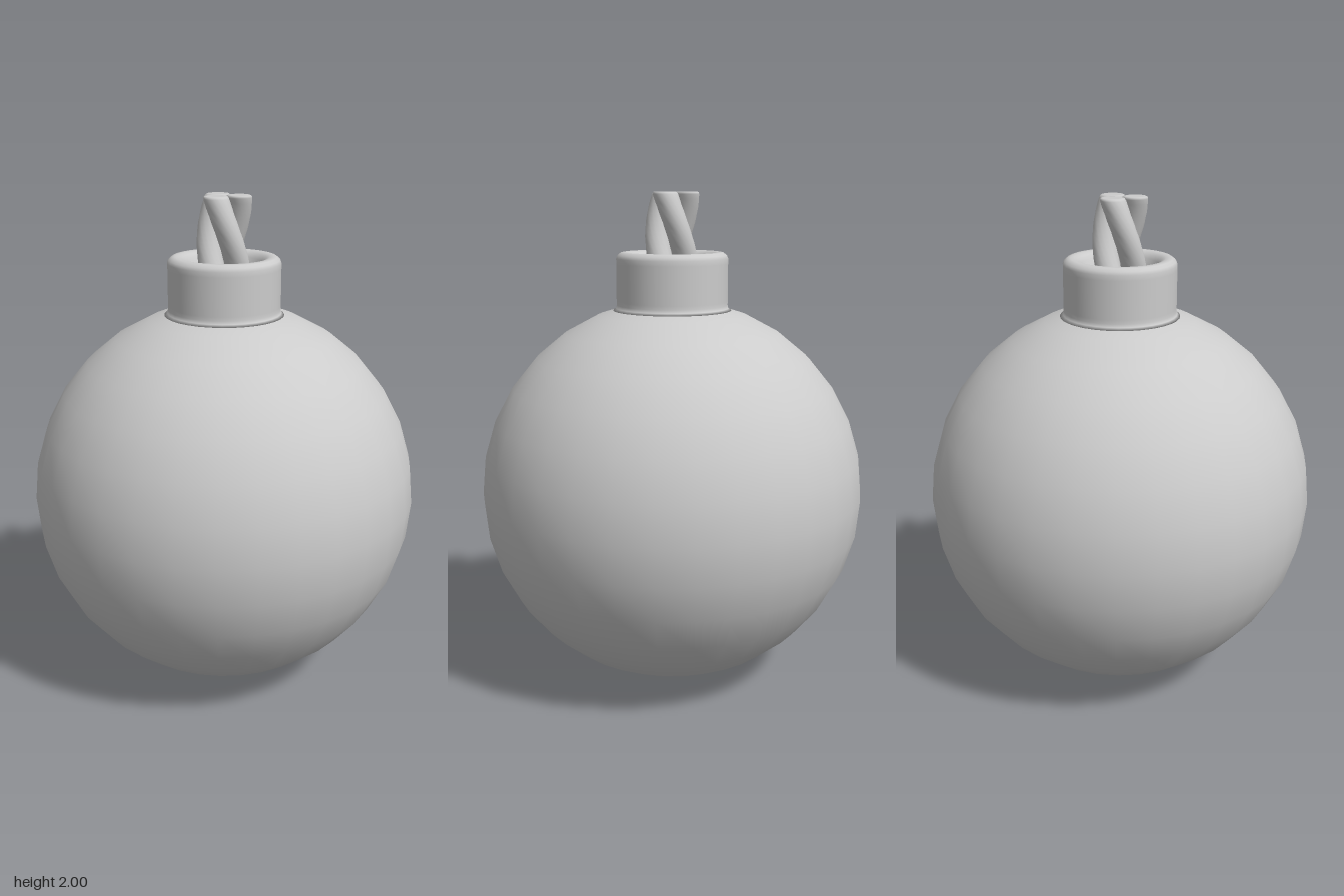
import * as THREE from 'three';

const material = new THREE.MeshStandardMaterial({ color: 0xcccccc });
const TWIST = 6.3; // radians of strand twist per unit of height
const TOP = 2;

function add(group, name, geometry) {
  const mesh = new THREE.Mesh(geometry, material);
  mesh.name = name;
  group.add(mesh);
  return mesh;
}

function lathe(profile, segments) {
  return new THREE.LatheGeometry(profile.map(([r, y]) => new THREE.Vector2(r, y)), segments);
}

// One fuse strand: an upright rod set off the axis, then wound around it
function strandGeometry(angle) {
  const bottom = 1.62, radius = 0.05, offset = 0.058, rows = 20;
  const profile = [[0, bottom]];
  for (let i = 0; i <= rows; i++) {
    profile.push([radius, bottom + (TOP - 0.01 - bottom) * i / rows]);
  }
  profile.push([radius - 0.002, TOP - 0.003], [radius - 0.008, TOP], [radius - 0.015, TOP], [0, TOP]);
  const geometry = lathe(profile, 16);
  geometry.translate(offset, 0, 0);

  const pos = geometry.attributes.position, nor = geometry.attributes.normal;
  const axis = new THREE.Vector3(0, 1, 0);
  const p = new THREE.Vector3(), n = new THREE.Vector3();
  for (let i = 0; i < pos.count; i++) {
    p.fromBufferAttribute(pos, i);
    n.fromBufferAttribute(nor, i);
    const turn = -(angle + TWIST * (p.y - TOP));
    p.applyAxisAngle(axis, turn);
    n.applyAxisAngle(axis, turn);
    // tilt the normal to follow the winding
    n.y -= TWIST * (p.x * n.z - p.z * n.x);
    n.normalize();
    pos.setXYZ(i, p.x, p.y, p.z);
    nor.setXYZ(i, n.x, n.y, n.z);
  }
  return geometry;
}

export function createModel() {
  const model = new THREE.Group();
  model.name = 'roundBomb';

  // Round body
  add(model, 'body', new THREE.SphereGeometry(0.787, 32, 16)).position.y = 0.787;

  // Collar with a small foot fillet, rounded rim and dished socket
  add(model, 'collar', lathe([
    [0.2, 1.52], [0.24, 1.533], [0.228, 1.542], [0.225, 1.555], [0.225, 1.57],
    [0.225, 1.72], [0.225, 1.74], [0.22, 1.753], [0.207, 1.763], [0.195, 1.765],
    [0.18, 1.764], [0.165, 1.757], [0.15, 1.74], [0.135, 1.705], [0.12, 1.675],
    [0.1, 1.662], [0.08, 1.66], [0, 1.66],
  ], 32));

  // Fuse of three twisted strands
  const fuse = new THREE.Group();
  fuse.name = 'fuse';
  for (let i = 0; i < 3; i++) {
    add(fuse, 'fuseStrand' + (i + 1), strandGeometry(-0.14 + i * Math.PI * 2 / 3));
  }
  model.add(fuse);

  return model;
}
